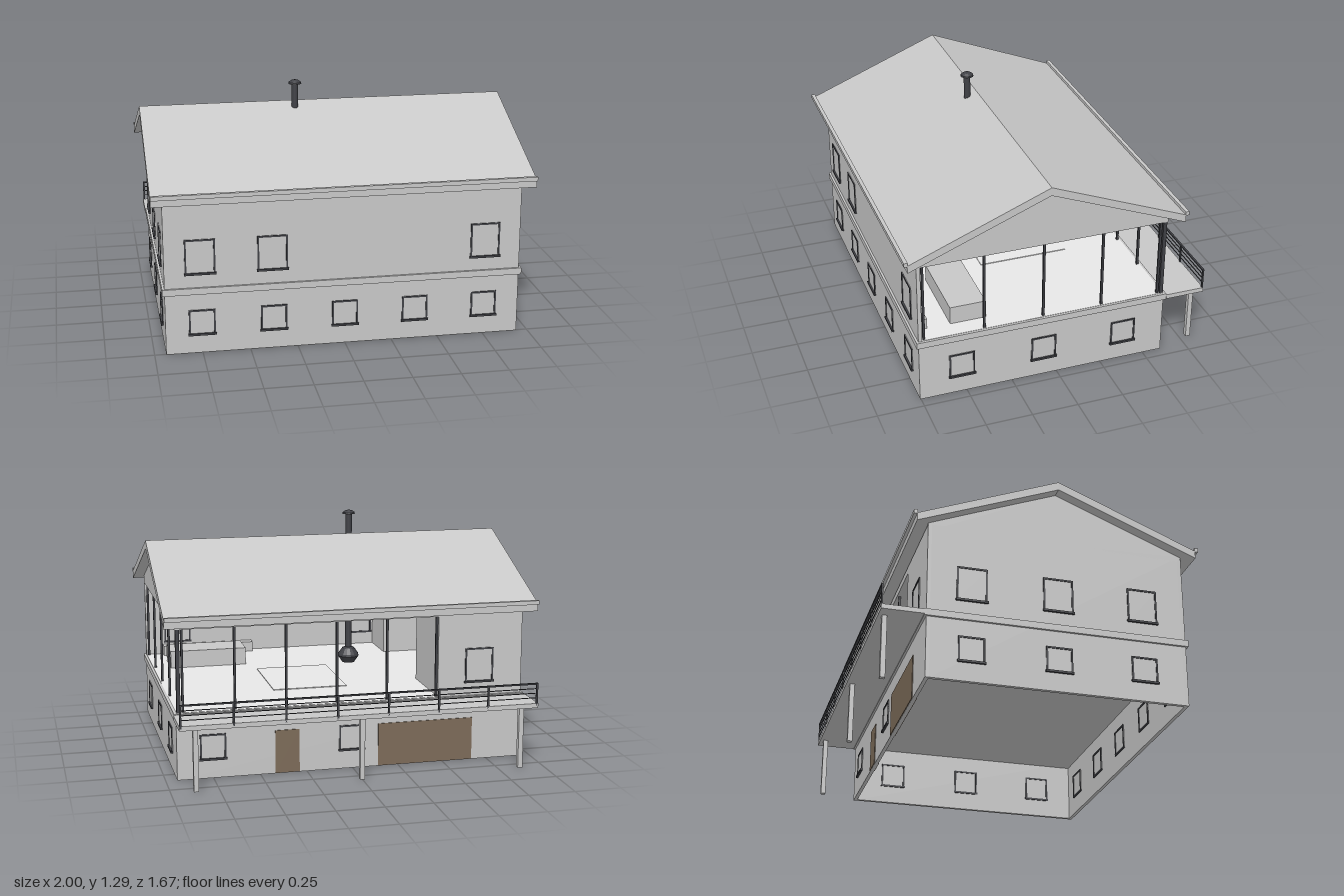
import * as THREE from 'three';

const mat = (name, color, side = THREE.FrontSide) => {
  const m = new THREE.MeshStandardMaterial({ color, side });
  m.name = name;
  return m;
};

export function createModel() {
  const house = new THREE.Group();
  house.name = 'house';
  const grey = mat('grey plaster', 0xc8c8c8);
  const dark = mat('dark metal', 0x3f4045);
  const brown = mat('brown wood', 0x7c6b59);
  const white = mat('white floor', 0xffffff);

  // Box given by its limits on each axis
  const box = (name, m, x0, x1, y0, y1, z0, z1, parent = house) => {
    const mesh = new THREE.Mesh(new THREE.BoxGeometry(x1 - x0, y1 - y0, z1 - z0), m);
    mesh.position.set((x0 + x1) / 2, (y0 + y1) / 2, (z0 + z1) / 2);
    mesh.name = name;
    parent.add(mesh);
    return mesh;
  };

  // Main dimensions
  const X = 0.94, ZF = 0.755, ZB = -0.605, T = 0.02;
  const WALL_TOP = 0.84, FLOOR = 0.36, INNER = -0.47, RIDGE = 0.07;

  // Outer walls
  box('frontWall', grey, -X, X, 0, WALL_TOP, ZF - T, ZF);
  box('rightWall', grey, -X, -X + T, 0, WALL_TOP, ZB + T, ZF - T);
  box('lowerLeftWall', grey, X - T, X, 0, FLOOR, ZB + T, ZF - T);
  box('lowerBackWall', grey, -X, X, 0, FLOOR, ZB, ZB + T);
  box('upperBackWall', grey, -X, INNER, FLOOR, 0.8, ZB, ZB + T);
  box('backHeader', grey, -X, X, 0.8, WALL_TOP, ZB, ZB + T);

  // Band around the upper floor
  const B = 0.012;
  for (const z of [ZF, ZB - B]) box('floorBand', grey, -X - B, X + B, 0.325, FLOOR, z, z + B);
  for (const x of [-X - B, X]) box('floorBand', grey, x, x + B, 0.325, FLOOR, ZB, ZF);

  // Upper floor, open over the stairwell, and the ceiling
  box('floorSlab', grey, INNER, X - T, 0.325, 0.357, ZB + T, ZF - T);
  box('landingSlab', grey, -0.7, INNER, 0.325, 0.357, -0.2, 0.475);
  box('floorFinish', white, INNER, X - 0.002, 0.357, 0.362, ZB + 0.002, ZF - T);
  box('landingFinish', white, -0.7, INNER, 0.357, 0.362, -0.2, 0.475);
  box('ceiling', grey, -X + T, X - 0.005, 0.8, 0.81, ZB + T, ZF - T);

  // Inner partition with a recess and a door
  const P = 0.012;
  box('partition', grey, INNER - P, INNER, FLOOR, 0.8, 0.475, ZF - T);
  box('partition', grey, INNER - P, INNER, FLOOR, 0.8, ZB + T, -0.2);
  box('recessBack', grey, -0.7 - P, -0.7, FLOOR, 0.8, -0.2, 0.475);
  for (const z of [-0.2 - P, 0.475]) box('recessSide', grey, -0.7 - P, INNER - P, FLOOR, 0.8, z, z + P);
  box('innerDoor', brown, -0.716, -0.694, 0.362, 0.6, 0.23, 0.37);

  // Shapes drawn in (z, y) and extruded along x
  const extrudeX = (name, points, x0, x1) => {
    const shape = new THREE.Shape(points.map(([z, y]) => new THREE.Vector2(-z, y)));
    const geo = new THREE.ExtrudeGeometry(shape, { depth: x1 - x0, bevelEnabled: false });
    geo.rotateY(Math.PI / 2);
    const mesh = new THREE.Mesh(geo, grey);
    mesh.position.x = x0;
    mesh.name = name;
    house.add(mesh);
  };

  // Roof, gables and gutters
  extrudeX('roof', [[0.815, 0.82], [0.815, 0.862], [RIDGE, 1.16], [-0.675, 0.862],
    [-0.675, 0.82], [RIDGE, 1.115]], -1, 1);
  for (const x of [-X, X - T])
    extrudeX('gable', [[ZF, 0.8], [ZF, 0.846], [RIDGE, 1.118], [ZB, 0.846], [ZB, 0.8]], x, x + T);
  box('frontGutter', grey, -1, 1, 0.858, 0.88, 0.812, 0.832);
  box('backGutter', grey, -1, 1, 0.858, 0.88, -0.692, -0.672);

  // Framed window, facing along angle a
  const addWindow = (x, z, y0, y1, w, a) => {
    const g = new THREE.Group();
    g.name = 'window';
    const h = w / 2, b = 0.009, d = 0.016;
    box('windowPane', grey, -h, h, y0, y1, -0.012, 0.012, g);
    for (const s of [-1, 1]) box('frameSide', dark, s * (h - b / 2) - b / 2, s * (h - b / 2) + b / 2, y0, y1, -d, d, g);
    box('frameTop', dark, -h, h, y1 - b, y1, -d, d, g);
    box('windowSill', dark, -h - 0.004, h + 0.004, y0 - 0.002, y0 + b, -d, d + 0.006, g);
    g.position.set(x, 0, z);
    g.rotation.y = a;
    house.add(g);
  };
  const lower = [0.1, 0.238, 0.138], upper = [0.432, 0.62, 0.158];
  const zf = ZF - T / 2, zb = ZB + T / 2, xs = X - T / 2;
  for (const x of [-0.75, -0.375, 0, 0.375, 0.75]) addWindow(x, zf, ...lower, 0);
  for (const x of [-0.755, -0.38, 0.75]) addWindow(x, zf, ...upper, 0);
  for (const z of [0.525, 0.075, -0.375]) {
    addWindow(xs, z, ...lower, Math.PI / 2);
    addWindow(-xs, z, ...lower, -Math.PI / 2);
    addWindow(-xs, z, ...upper, -Math.PI / 2);
  }
  for (const x of [0.75, 0.005]) addWindow(x, zb, ...lower, Math.PI);
  addWindow(-0.7, zb, ...upper, Math.PI);

  // Back doors
  box('backDoor', brown, 0.29, 0.42, 0.002, 0.235, ZB - 0.004, ZB + T + 0.004);
  box('garageDoor', brown, -0.665, -0.14, 0.002, 0.235, ZB - 0.004, ZB + T + 0.004);

  // Slim posts of the open upper storey
  const post = (x, z, r = 0.006) => box('glazingPost', dark, x - r, x + r, FLOOR, 0.8, z - r, z + r);
  for (const z of [0.722, 0.398, 0.075, -0.25, -0.572]) post(0.925, z);
  for (let i = 0; i < 6; i++) post(-0.463 + i * 0.273, -0.59);
  post(0.925, -0.593, 0.01);

  // Balcony with supports and railing
  box('balconyDeck', grey, -0.955, 0.955, 0.33, 0.355, -0.832, ZB - B);
  for (const x of [-0.87, 0, 0.87]) box('balconySupport', grey, x - 0.013, x + 0.013, 0, 0.33, -0.813, -0.787);
  for (let i = 0; i < 8; i++) {
    const x = -0.947 + i * 0.2706;
    box('railingPost', dark, x - 0.005, x + 0.005, 0.34, 0.465, -0.832, -0.824);
  }
  for (const y of [0.385, 0.41, 0.435]) box('railingBar', dark, -0.95, 0.95, y - 0.002, y + 0.002, -0.83, -0.826);
  box('handrail', dark, -0.952, 0.952, 0.458, 0.466, -0.834, -0.823);

  // Hanging stove, flue and cowl
  const lathe = (name, m, pts) => {
    const geo = new THREE.LatheGeometry(pts.map(([r, y]) => new THREE.Vector2(r, y)), 16);
    const mesh = new THREE.Mesh(geo.toNonIndexed(), m);
    mesh.geometry.computeVertexNormals();
    mesh.position.set(-0.16, 0, 0.125);
    mesh.name = name;
    house.add(mesh);
  };
  lathe('stove', dark, [[0, 0.402], [0.035, 0.402], [0.06, 0.44], [0.058, 0.452], [0.034, 0.486], [0.018, 0.492]]);
  lathe('flue', dark, [[0.018, 0.48], [0.018, 1.268], [0, 1.268]]);
  lathe('cowl', dark, [[0, 1.264], [0.036, 1.264], [0.034, 1.272], [0.018, 1.283], [0, 1.286]]);

  // Furniture
  box('sofa', grey, 0.4, 0.84, 0.362, 0.46, 0.36, 0.555);
  box('bench', grey, 0.3, 0.84, 0.362, 0.42, 0.678, 0.733);
  box('rug', white, -0.05, 0.36, 0.362, 0.366, -0.27, 0.225);

  return house;
}
